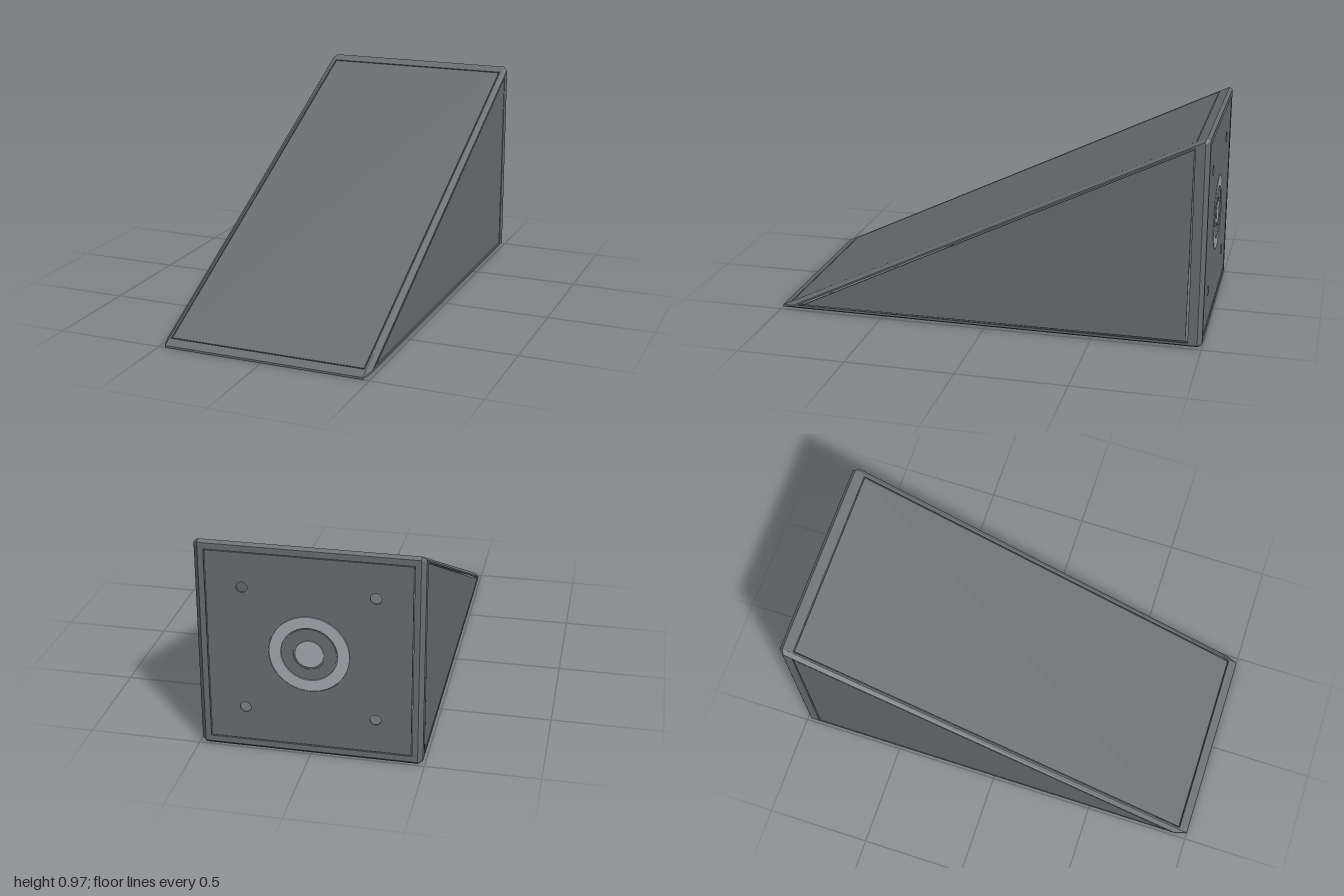
import * as THREE from 'three';

const body = new THREE.MeshStandardMaterial({ color: 0x6a6e71, side: THREE.DoubleSide });
body.name = 'body grey';
const metal = new THREE.MeshStandardMaterial({ color: 0xa2acb2 });
metal.name = 'pale metal';

const V = (x, y, z) => new THREE.Vector3(x, y, z);
const X = 0.47, SIDE = 0.49, DEPTH = 0.008;

const rect = (w, v0, v1) => [[-w, v0], [w, v0], [w, v1], [-w, v1]];
const toPath = (pts) => new THREE.Path(pts.map(([a, b]) => new THREE.Vector2(a, b)));
const circle = (x, y, r) => new THREE.Path().absarc(x, y, r, 0, Math.PI * 2, true);

// Thin plate whose outer face lies on the local z = 0 plane, sunk by `sink`
function plate(name, pts, holes, material = body, sink = 0, depth = DEPTH) {
  const shape = new THREE.Shape(pts.map(([a, b]) => new THREE.Vector2(a, b)));
  shape.holes = holes;
  const geo = new THREE.ExtrudeGeometry(shape, { depth, bevelEnabled: false, curveSegments: 16 });
  geo.translate(0, 0, -depth - sink);
  const mesh = new THREE.Mesh(geo, material);
  mesh.name = name;
  return mesh;
}

// Group with its own face plane: u and v span it, u x v points outward
function facePlane(name, origin, u, v) {
  const group = new THREE.Group();
  group.name = name;
  const n = u.clone().cross(v);
  group.applyMatrix4(new THREE.Matrix4().makeBasis(u, v, n).setPosition(origin));
  return group;
}

// Magnet ring, centre disc and recess floor of one connector
function connector(cx, cy) {
  const group = new THREE.Group();
  group.name = 'connector';
  const disc = (name, r, inner, material, sink, depth) => {
    const pts = new THREE.Path().absarc(0, 0, r, 0, Math.PI * 2, false).getPoints(24).slice(0, -1);
    const m = plate(name, pts.map((p) => [p.x, p.y]), inner ? [circle(0, 0, inner)] : [], material, sink, depth);
    group.add(m);
  };
  disc('magnetRing', 0.174, 0.123, metal, 0, 0.006);
  disc('recessFloor', 0.177, 0, body, 0.006, 0.003);
  disc('innerCollar', 0.118, 0.07, body, 0.002, 0.005);
  disc('centreDisc', 0.062, 0, metal, 0.001, 0.006);
  group.position.set(cx, cy, 0);
  return group;
}

// Openings a connector needs in its panel: one socket and four screw holes
function connectorHoles(cx, cy) {
  const holes = [circle(cx, cy, 0.177)];
  for (const sx of [-1, 1]) for (const sy of [-1, 1]) {
    holes.push(circle(cx + sx * 0.285, cy + sy * 0.285, 0.024));
  }
  return holes;
}

export function createModel() {
  const model = new THREE.Group();
  model.name = 'wedgeBlock';

  // Wedge profiles as [z, y]: full size at x = X, inset at x = SIDE
  const P = [[1, 0], [1, 0.01], [-0.985, 0.972], [-1, 0.96], [-1, 0.015], [-0.985, 0]];
  const Q = [[0.94, 0.012], [0.94, 0.02], [-0.975, 0.955], [-0.98, 0.945], [-0.98, 0.025], [-0.975, 0.012]];

  // Chamfered edges
  const pos = [];
  const quad = (a, b, c, d) => [a, b, c, a, c, d].forEach((p) => pos.push(...p));
  P.forEach((p, i) => {
    const j = (i + 1) % P.length;
    const at = (x, q) => [x, q[1], q[0]];
    quad(at(X, p), at(SIDE, Q[i]), at(SIDE, Q[j]), at(X, P[j]));
    quad(at(-X, P[j]), at(-SIDE, Q[j]), at(-SIDE, Q[i]), at(-X, p));
    if (i % 2 === 0) quad(at(-X, p), at(X, p), at(X, P[j]), at(-X, P[j]));
  });
  const edgeGeo = new THREE.BufferGeometry();
  edgeGeo.setAttribute('position', new THREE.Float32BufferAttribute(pos, 3));
  edgeGeo.computeVertexNormals();
  const edges = new THREE.Mesh(edgeGeo, body);
  edges.name = 'chamferedEdges';
  model.add(edges);

  // Sloping front
  const low = V(0, P[1][1], P[1][0]), high = V(0, P[2][1], P[2][0]);
  const length = low.distanceTo(high);
  const slope = facePlane('slope', low, V(1, 0, 0), high.clone().sub(low).normalize());
  slope.add(
    plate('slopeFrame', rect(X, 0, length), [toPath(rect(0.462, 0.046, length - 0.05))]),
    plate('slopePanel', rect(0.457, 0.051, length - 0.055), [], body, 0.001),
  );
  model.add(slope);

  // Back with one connector
  const back = facePlane('back', V(0, 0, -1), V(-1, 0, 0), V(0, 1, 0));
  back.add(
    plate('backFrame', rect(X, 0.015, 0.96), [toPath(rect(0.445, 0.042, 0.932))]),
    plate('backPanel', rect(0.441, 0.046, 0.928), connectorHoles(0, 0.486), body, 0.002),
    connector(0, 0.486),
  );
  model.add(back);

  // Underside with two connectors
  const centres = [-0.505, 0.525];
  const base = facePlane('underside', V(0, 0, 0), V(1, 0, 0), V(0, 0, 1));
  base.add(
    plate('baseFrame', rect(X, -0.985, 1), [toPath(rect(0.445, -0.955, 0.94))]),
    plate('basePanel', rect(0.441, -0.951, 0.936), centres.flatMap((z) => connectorHoles(0, z)), body, 0.002),
    ...centres.map((z) => connector(0, z)),
  );
  model.add(base);

  // Triangular sides
  const opening = [[0.92, 0.022], [-0.937, 0.022], [-0.937, 0.928]];
  const panel = [[0.89, 0.027], [-0.927, 0.03], [-0.933, 0.92]];
  for (const s of [1, -1]) {
    const local = (pts) => pts.map(([z, y]) => [-s * z, y]);
    const side = facePlane(s > 0 ? 'leftSide' : 'rightSide', V(s * SIDE, 0, 0), V(0, 0, -s), V(0, 1, 0));
    side.add(
      plate('sideFrame', local(Q), [toPath(local(opening))]),
      plate('sidePanel', local(panel), [], body, 0.001),
    );
    model.add(side);
  }
  return model;
}
